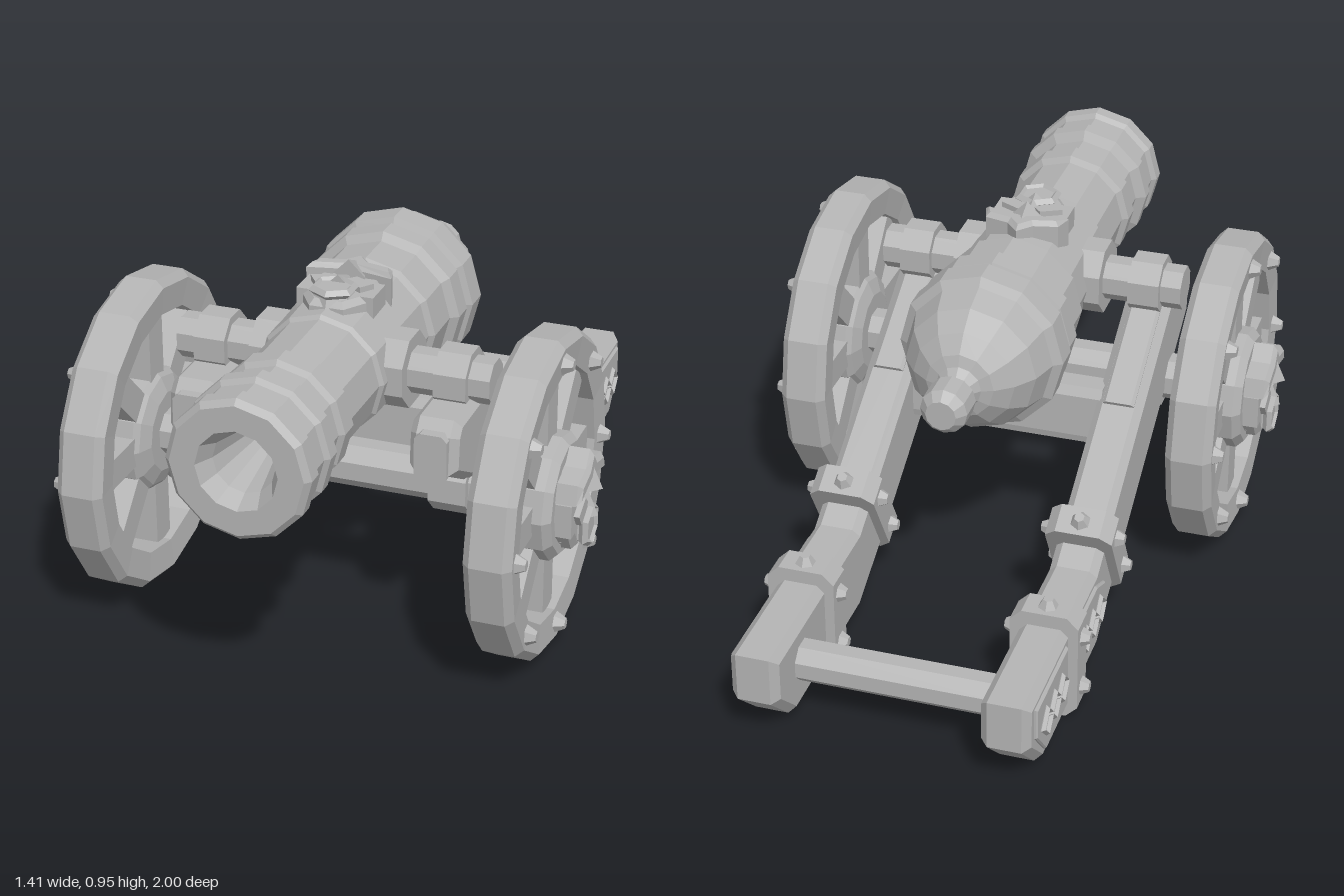
import * as THREE from 'three';

const iron = new THREE.MeshStandardMaterial({ color: 0xb4b4b4, flatShading: true });
iron.name = 'plain grey';

function add(parent, name, geo, x = 0, y = 0, z = 0) {
  const m = new THREE.Mesh(geo, iron);
  m.name = name;
  m.position.set(x, y, z);
  parent.add(m);
  return m;
}

function group(parent, name, x = 0, y = 0, z = 0) {
  const g = new THREE.Group();
  g.name = name;
  g.position.set(x, y, z);
  parent.add(g);
  return g;
}

// Extrusion centred on z, with its chamfer kept inside the outline
function slab(points, depth, bevel) {
  const shape = new THREE.Shape(points.map(p => new THREE.Vector2(...p)));
  const geo = new THREE.ExtrudeGeometry(shape, {
    depth: depth - 2 * bevel, bevelEnabled: bevel > 0, bevelSize: bevel,
    bevelThickness: bevel, bevelOffset: -bevel, bevelSegments: 1,
  });
  return geo.translate(0, 0, bevel - depth / 2);
}

// Side profile given as [z, y], extruded along x
const sideSlab = (points, depth, bevel) => slab(points, depth, bevel).rotateY(-Math.PI / 2);

// Block whose x/y outline has cut corners
function block(w, h, d, c) {
  const a = w / 2, b = h / 2;
  return slab([[-a + c, -b], [a - c, -b], [a, -b + c], [a, b - c],
    [a - c, b], [-a + c, b], [-a, b - c], [-a, -b + c]], d, 0);
}

const lathe = (pts, n) => new THREE.LatheGeometry(pts.map(p => new THREE.Vector2(...p)), n);
const latheX = (pts, n) => lathe(pts, n).rotateZ(-Math.PI / 2);

// Bar along x with flat sides facing up and forward
const bar = (r, len, n = 8) =>
  new THREE.CylinderGeometry(r, r, len, n).rotateY(Math.PI / n).rotateZ(Math.PI / 2);

// Rivet pointing along +x or -x
const stud = s => new THREE.CylinderGeometry(0.014, 0.028, 0.028, 6).rotateZ(-s * Math.PI / 2);

// Bearded face ornament: y up, z outward
function mask(parent, name, x, y, z) {
  const g = group(parent, name, x, y, z);
  add(g, 'facePlate', slab([[-.085, .06], [-.095, -.05], [-.045, -.125], [.045, -.125],
    [.095, -.05], [.085, .06]], 0.09, 0.015), 0, 0, -0.025);
  add(g, 'helmet', slab([[-.115, .035], [0, .06], [.115, .035], [.1, .085], [.035, .1],
    [0, .14], [-.035, .1], [-.1, .085]], 0.1, 0.012), 0, 0, -0.005);
  add(g, 'helmetCrest', new THREE.ConeGeometry(0.045, 0.1, 4), 0, 0.085, 0.025);
  add(g, 'nose', new THREE.ConeGeometry(0.035, 0.085, 4), 0, 0.0, 0.025);
  const beard = new THREE.CylinderGeometry(0.045, 0.07, 0.06, 6).rotateX(Math.PI / 2);
  add(g, 'beard', beard, 0, -0.07, 0.01);
  add(g, 'mouth', new THREE.TorusGeometry(0.052, 0.012, 4, 6).rotateZ(Math.PI / 6), 0, -0.07, 0.036);
  for (const s of [-1, 1]) {
    add(g, 'moustache', slab([[0, -.012], [.06, -.045], [.085, -.01], [.03, .018]]
      .map(p => [p[0] * s, p[1]]).sort(() => 0), 0.07, 0), 0, 0, 0);
    add(g, 'braid', new THREE.BoxGeometry(0.035, 0.09, 0.07), s * 0.085, -0.02, -0.015);
  }
  return g;
}

function barrel(parent) {
  const g = group(parent, 'barrel', 0, 0.715, 0);
  const profile = [[0, -.49], [.04, -.49], [.062, -.465], [.062, -.395], [.037, -.37], [.06, -.345],
    [.09, -.335], [.135, -.30], [.175, -.245], [.197, -.17], [.22, -.155], [.22, -.085],
    [.2, -.075], [.2, -.065], [.212, -.06], [.212, 0], [.19, .015], [.19, .13], [.175, .14],
    [.167, .45], [.157, .46], [.155, .67], [.172, .68], [.172, .735], [.158, .745], [.158, .81],
    [.185, .825], [.185, .865], [.172, .875], [.172, .935], [.185, .945], [.185, .985], [.17, 1],
    [.105, 1], [.08, .95], [0, .6]];
  add(g, 'gunTube', lathe(profile, 12).rotateX(Math.PI / 2));
  add(g, 'trunnion', bar(0.06, 0.84), 0, 0, 0.335);
  add(g, 'trunnionCollar', bar(0.1, 0.41), 0, 0, 0.335);
  mask(g, 'barrelMask', 0, 0.165, 0.29).rotation.x = -Math.PI / 2;
}

function wheel(parent, s) {
  const g = group(parent, s > 0 ? 'leftWheel' : 'rightWheel', s * 0.536, 0.43, 0.343);
  add(g, 'rim', latheX([[.33, -.055], [.405, -.062], [.425, -.042], [.425, .042],
    [.405, .062], [.33, .055], [.33, -.055]], 16));
  add(g, 'hub', latheX([[0, -.062], [.11, -.062], [.15, -.045], [.165, -.03], [.165, .06],
    [.145, .08], [.12, .08], [.12, .07], [0, .07]].map(p => [p[0], p[1]]), 12))
    .rotation.y = s > 0 ? 0 : Math.PI;
  for (let i = 0; i < 8; i++) {
    const a = i * Math.PI / 4;
    const arm = group(g, 'spokeAndStud');
    arm.rotation.x = a;
    add(arm, 'spoke', block(0.07, 0.22, 0.08, 0.012), 0, 0.23, 0);
    add(arm, 'rimStud', stud(s), s * 0.072, 0.366, 0);
  }
  mask(g, 'hubMask', s * 0.1, 0.005, 0).rotation.y = s * Math.PI / 2;
}

// Strap around the beam, with rivets on both cheeks and on top
function clamp(parent, y, z, h, tilt) {
  const g = group(parent, 'beamClamp', 0, y, z);
  g.rotation.x = tilt;
  add(g, 'clampBand', block(0.178, h, 0.08, 0.03));
  for (const s of [-1, 1]) for (const dy of [-0.075, 0.075])
    add(g, 'clampStud', stud(s), s * 0.097, dy, 0);
  add(g, 'clampTopStud', new THREE.CylinderGeometry(0.014, 0.028, 0.024, 6), 0, h / 2 + 0.01, 0);
}

function carriageSide(parent, s) {
  const g = group(parent, s > 0 ? 'leftCheek' : 'rightCheek', s * 0.322, 0, 0);
  add(g, 'cheekBeam', sideSlab([[.54, .54], [.53, .64], [.5, .675], [.33, .675], [-.40, .263], [-1, .263],
    [-1, .13], [-.89, .025], [-.41, .025], [-.20, .13]], 0.127, 0.02));

  // Straps along the top and front of the cheek
  add(g, 'topStrap', block(0.085, 0.03, 0.3, 0.008), 0, 0.575, 0.16).rotation.x = -0.515;
  add(g, 'frontStrap', block(0.085, 0.13, 0.03, 0.015), 0, 0.585, 0.535);
  add(g, 'trunnionCap', bar(0.082, 0.085), 0, 0.715, 0.335);
  add(g, 'axleCollar', bar(0.085, 0.1), 0, 0.43, 0.343);
  clamp(g, 0.247, -0.265, 0.28, -Math.PI / 6);
  clamp(g, 0.15, -0.625, 0.3, 0);

  // Raised panels with linked diamonds on the outer face
  const panels = [
    { z: -0.47, pts: [[-.57, .06], [-.57, .235], [-.42, .235], [-.34, .2], [-.33, .12], [-.42, .06]] },
    { z: -0.82, pts: [[-.96, .15], [-.96, .235], [-.69, .235], [-.69, .06], [-.88, .06]] },
  ];
  for (const p of panels) {
    add(g, 'panel', sideSlab(p.pts.slice().reverse(), 0.014, 0.004), s * 0.065, 0, 0);
    for (let i = -1; i <= 1; i++)
      add(g, 'diamond', new THREE.TorusGeometry(0.038, 0.009, 4, 4).rotateY(Math.PI / 2),
        s * 0.074, 0.155, p.z + i * 0.068);
  }
}

export function createModel() {
  const model = new THREE.Group();
  model.name = 'fieldCannon';
  barrel(model);
  for (const s of [-1, 1]) {
    wheel(model, s);
    carriageSide(model, s);
  }
  // Axle and cross members
  add(model, 'axle', bar(0.063, 1.0), 0, 0.43, 0.343);
  add(model, 'middleCrossMember', sideSlab([[.05, .36], [.13, .36], [.135, .38], [.135, .5],
    [.12, .525], [.06, .525], [.045, .5], [.045, .38]], 0.54, 0), 0, 0, 0);
  add(model, 'tailCrossBar', bar(0.055, 0.54), 0, 0.155, -0.83);
  return model;
}
